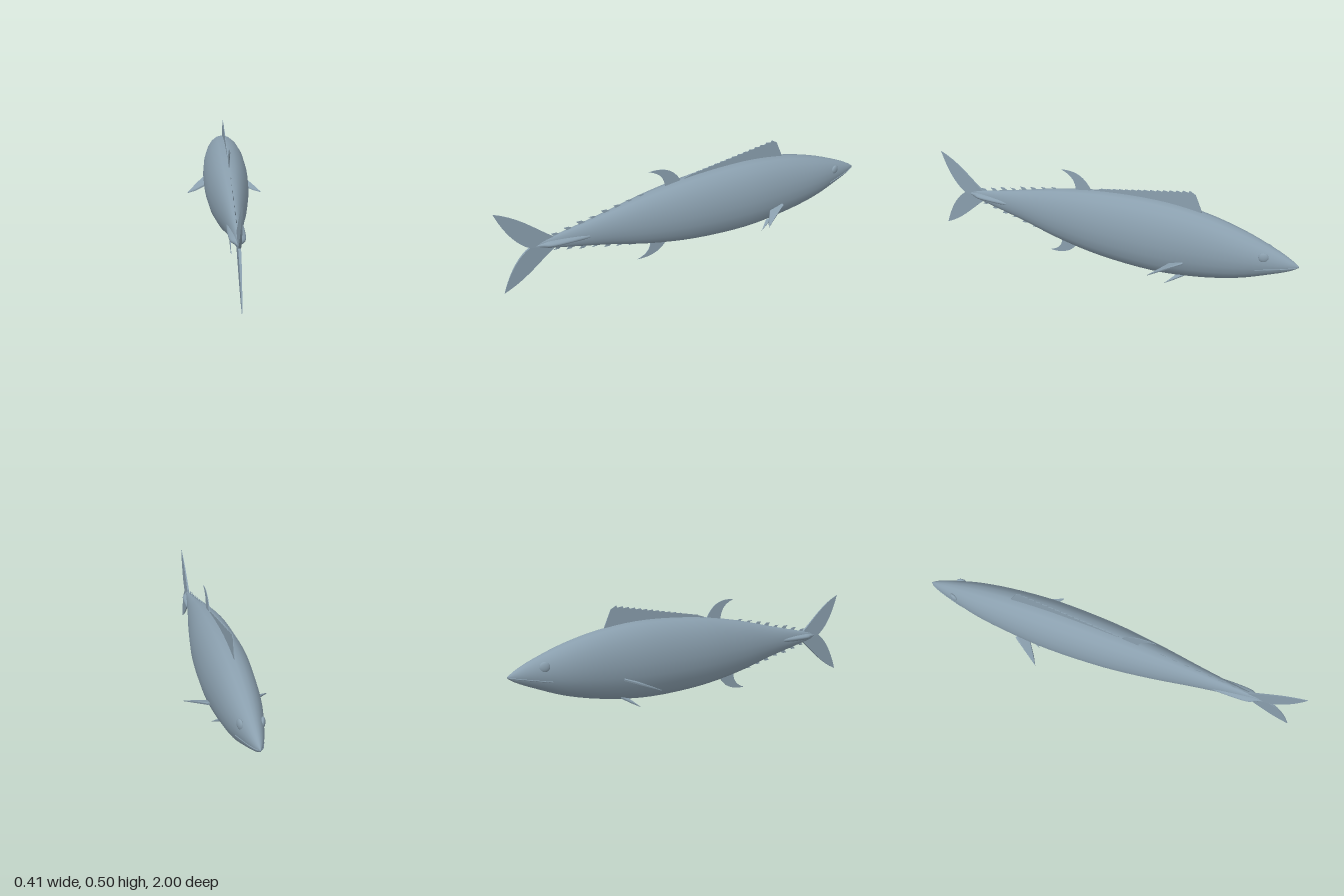
import * as THREE from 'three';
import { ConvexGeometry } from 'three/addons/geometries/ConvexGeometry.js';

const AXIS = 0.232; // height of the snout-to-tail line
const SIDES = 20;

// stations: z, half width, top y, bottom y
const BODY = [
  [-1, 0.002, 0.236, 0.228],
  [-0.96, 0.022, 0.262, 0.203],
  [-0.88, 0.046, 0.3, 0.168],
  [-0.72, 0.082, 0.358, 0.108],
  [-0.52, 0.105, 0.405, 0.063],
  [-0.29, 0.117, 0.425, 0.039],
  [0, 0.108, 0.411, 0.05],
  [0.25, 0.081, 0.373, 0.088],
  [0.46, 0.051, 0.325, 0.14],
  [0.62, 0.03, 0.289, 0.175],
  [0.76, 0.014, 0.26, 0.204],
  [0.82, 0.005, 0.246, 0.216],
];
const KEEL = [
  [0.48, 0.03, 0.245, 0.219],
  [0.58, 0.038, 0.25, 0.214],
  [0.74, 0.036, 0.249, 0.215],
  [0.79, 0.017, 0.244, 0.22],
  [0.83, 0.004, 0.236, 0.228],
];

// Smoothly resample stations
function resample(stations, count) {
  const curve = (k) => new THREE.CatmullRomCurve3(
    stations.map((s) => new THREE.Vector3(s[1], s[k], s[0])), false, 'catmullrom');
  const upper = curve(2), lower = curve(3);
  return Array.from({ length: count + 1 }, (_, i) => {
    const a = upper.getPoint(i / count), b = lower.getPoint(i / count);
    return { z: a.z, w: Math.max(a.x, 0.001), c: (a.y + b.y) / 2, h: (a.y - b.y) / 2 };
  });
}

// Skin elliptical rings, with both ends closed
function loft(rings) {
  const pos = [], idx = [], n = rings.length;
  for (const r of rings) {
    for (let j = 0; j < SIDES; j++) {
      const a = (j / SIDES) * Math.PI * 2;
      pos.push(r.w * Math.sin(a), r.c + r.h * Math.cos(a), r.z);
    }
  }
  for (let i = 0; i < n - 1; i++) {
    for (let j = 0; j < SIDES; j++) {
      const a = i * SIDES + j, b = i * SIDES + ((j + 1) % SIDES);
      idx.push(a, a + SIDES, b, b, a + SIDES, b + SIDES);
    }
  }
  const last = (n - 1) * SIDES;
  for (let j = 1; j < SIDES - 1; j++) {
    idx.push(0, j, j + 1, last, last + j + 1, last + j);
  }
  const g = new THREE.BufferGeometry();
  g.setAttribute('position', new THREE.Float32BufferAttribute(pos, 3));
  g.setIndex(idx);
  g.computeVertexNormals();
  return g;
}

// Upright fin from a (z, y) outline, thinning away from the body axis
function finGeometry(shape, thickness = 0.011) {
  const g = new THREE.ExtrudeGeometry(shape, { depth: thickness, bevelEnabled: false, curveSegments: 10 });
  g.translate(0, 0, -thickness / 2);
  g.rotateY(-Math.PI / 2);
  const p = g.attributes.position;
  let far = 0;
  for (let i = 0; i < p.count; i++) far = Math.max(far, Math.abs(p.getY(i) - AXIS));
  for (let i = 0; i < p.count; i++) {
    p.setX(i, p.getX(i) * (1 - 0.8 * Math.abs(p.getY(i) - AXIS) / far));
  }
  g.computeVertexNormals();
  return g;
}

const polygon = (pts) => new THREE.Shape(pts.map(([z, y]) => new THREE.Vector2(z, y)));

export function createModel() {
  const fish = new THREE.Group();
  fish.name = 'fish';
  const skin = new THREE.MeshStandardMaterial({ color: 0x8a9fae });
  skin.name = 'blueGreySkin';
  const add = (name, geometry) => {
    const m = new THREE.Mesh(geometry, skin);
    m.name = name;
    fish.add(m);
    return m;
  };

  // Body and the side keels of the tail stalk
  const rings = resample(BODY, 44);
  add('body', loft(rings));
  add('tailKeel', loft(resample(KEEL, 16)));

  // Half width of the body at a given z and y
  const surfaceX = (z, y) => {
    const i = Math.max(1, rings.findIndex((r) => r.z >= z));
    const a = rings[i - 1], b = rings[i], t = (z - a.z) / (b.z - a.z);
    const mix = (k) => a[k] + (b[k] - a[k]) * t;
    const v = (y - mix('c')) / mix('h');
    return mix('w') * Math.sqrt(Math.max(0, 1 - v * v));
  };

  // First dorsal fin with a spiny upper edge
  const dorsal = [[-0.52, 0.36], [-0.52, 0.41], [-0.485, 0.49]];
  const spines = 15;
  for (let i = 0; i < spines; i++) {
    const t = i / spines, z = -0.455 + 0.5 * t, y = 0.506 - 0.09 * t;
    dorsal.push([z, y], [z + 0.006, y - 0.011 * (1 - 0.7 * t)]);
  }
  dorsal.push([0.05, 0.408], [0.05, 0.36]);
  add('firstDorsalFin', finGeometry(polygon(dorsal)));

  // Sickle-shaped second dorsal fin
  const second = new THREE.Shape();
  second.moveTo(0.07, 0.36);
  second.lineTo(0.07, 0.4);
  second.bezierCurveTo(0.1, 0.46, 0.15, 0.495, 0.24, 0.484);
  second.bezierCurveTo(0.18, 0.465, 0.15, 0.43, 0.155, 0.36);
  add('secondDorsalFin', finGeometry(second));

  // Sickle-shaped anal fin
  const anal = new THREE.Shape();
  anal.moveTo(0.15, 0.12);
  anal.lineTo(0.15, 0.085);
  anal.bezierCurveTo(0.175, 0.03, 0.23, -0.005, 0.318, 0.002);
  anal.bezierCurveTo(0.26, 0.02, 0.235, 0.055, 0.245, 0.12);
  add('analFin', finGeometry(anal));

  // Rows of finlets above and below the tail stalk
  for (const [name, dir, start, count] of [['upperFinlet', 1, 0.26, 8], ['lowerFinlet', -1, 0.32, 7]]) {
    for (let i = 0; i < count; i++) {
      const z = start + i * 0.0635;
      const edge = (at) => {
        const r = rings.find((q) => q.z >= at);
        return r.c + dir * r.h;
      };
      const y = edge(z), rear = edge(z + 0.03);
      add(name, finGeometry(polygon([
        [z - 0.005, y - dir * 0.02], [z, y], [z + 0.018, y + dir * 0.012], [z + 0.044, y + dir * 0.012],
        [z + 0.03, rear + dir * 0.004], [z + 0.028, rear - dir * 0.02],
      ]), 0.009));
    }
  }

  // Crescent tail fin
  const tail = new THREE.Shape();
  tail.moveTo(0.72, 0.25);
  tail.bezierCurveTo(0.79, 0.29, 0.87, 0.4, 1, 0.45);
  tail.bezierCurveTo(0.97, 0.36, 0.92, 0.27, 0.855, 0.233);
  tail.bezierCurveTo(0.92, 0.195, 0.97, 0.105, 1, 0.016);
  tail.bezierCurveTo(0.87, 0.07, 0.79, 0.175, 0.72, 0.214);
  add('tailFin', finGeometry(tail, 0.012));

  // Paired parts
  for (const s of [1, -1]) {
    const side = s > 0 ? 'left' : 'right';
    const blade = (pts, t) => new ConvexGeometry(pts.flatMap(([x, y, z, k]) => [
      new THREE.Vector3(s * (x + t * k * 0.4), y + t * k, z),
      new THREE.Vector3(s * (x - t * k * 0.4), y - t * k, z),
    ]));
    // Pectoral fin: x, y, z, relative thickness
    add(side + 'PectoralFin', blade([
      [0.1, 0.172, -0.475, 1], [0.112, 0.17, -0.478, 0.8], [0.09, 0.15, -0.41, 1],
      [0.155, 0.15, -0.41, 0.7], [0.16, 0.128, -0.36, 0.5], [0.203, 0.121, -0.335, 0.4],
    ], 0.005));
    // Pelvic fin
    add(side + 'PelvicFin', blade([
      [0.045, 0.07, -0.465, 1], [0.04, 0.056, -0.42, 1],
      [0.062, 0.037, -0.41, 0.6], [0.074, 0.018, -0.375, 0.3],
    ], 0.004));
    // Bulging eye
    const eye = add(side + 'Eye', new THREE.SphereGeometry(0.024, 20, 14));
    eye.scale.x = 0.45;
    eye.position.set(s * (surfaceX(-0.845, 0.268) - 0.002), 0.268, -0.845);
    eye.rotation.y = s * 0.3;
    // Lip line along the jaw
    const lip = [];
    for (let i = 0; i <= 8; i++) {
      const z = -0.992 + i * 0.0225, y = 0.229 - i * 0.004;
      lip.push(new THREE.Vector3(s * surfaceX(z, y), y, z));
    }
    add(side + 'Lip', new THREE.TubeGeometry(new THREE.CatmullRomCurve3(lip), 16, 0.003, 6));
  }
  return fish;
}
